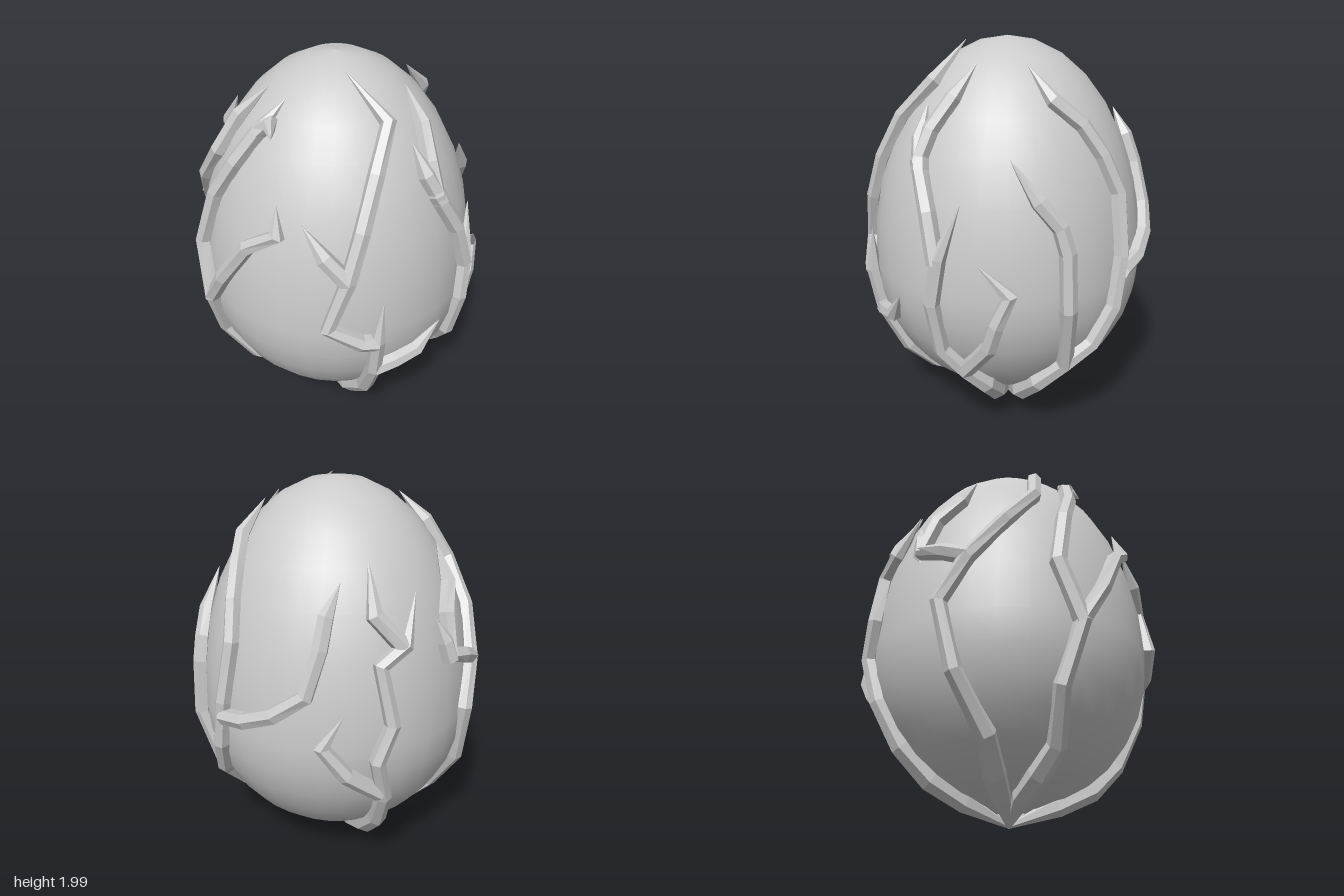
import * as THREE from 'three';

const WAIST = 0.85, RADIUS = 0.72, UP = 1.15, DOWN = 0.76;
const BASE = WAIST - DOWN;
const SIDES = 6;

// Radius of the egg at height y
function eggRadius(y) {
  const t = (y - WAIST) / (y > WAIST ? UP : DOWN);
  return RADIUS * Math.sqrt(Math.max(0, 1 - t * t));
}

// Point on the egg at a compass angle (0 = front, 90 = +x) and height, with its normal
function onEgg([deg, y]) {
  const a = THREE.MathUtils.degToRad(deg), r = eggRadius(y);
  const half = y > WAIST ? UP : DOWN;
  const normal = new THREE.Vector3(
    Math.sin(a) * r / RADIUS ** 2, (y - WAIST) / half ** 2, Math.cos(a) * r / RADIUS ** 2).normalize();
  return { point: new THREE.Vector3(Math.sin(a) * r, y, Math.cos(a) * r), normal };
}

// Six-sided vine that hugs the egg and tapers to a point
function vineGeometry(path, trunk) {
  const spots = path.map(onEgg), n = spots.length, pos = [], index = [];
  spots.forEach(({ point, normal }, i) => {
    const lift = trunk && i === 0 ? 0.07 : i === n - 1 ? 0.03 : 0.02;
    point.addScaledVector(normal, lift);
  });
  spots.forEach(({ point, normal }, i) => {
    const prev = spots[Math.max(i - 1, 0)].point, next = spots[Math.min(i + 1, n - 1)].point;
    const into = point.clone().sub(prev).normalize(), out = next.clone().sub(point).normalize();
    const tangent = into.add(out).normalize();
    const side = tangent.clone().cross(normal).normalize();
    const up = side.clone().cross(tangent).normalize();
    let r = 0.044 - 0.006 * i / n;
    if (trunk && i < 4) r = [0.012, 0.05, 0.058, 0.05][i];
    if (i === n - 1) r = 0.001;
    for (let j = 0; j < SIDES; j++) {
      const a = (j + 0.5) / SIDES * Math.PI * 2;
      const p = point.clone().addScaledVector(side, Math.cos(a) * r).addScaledVector(up, Math.sin(a) * r);
      pos.push(p.x, p.y, p.z);
      if (i < n - 1) {
        const k = (j + 1) % SIDES, A = i * SIDES, B = A + SIDES;
        index.push(A + j, B + j, A + k, A + k, B + j, B + k);
      }
    }
  });
  const g = new THREE.BufferGeometry();
  g.setAttribute('position', new THREE.Float32BufferAttribute(pos, 3));
  g.setIndex(index);
  g.computeVertexNormals();
  return g;
}

export function createModel() {
  const model = new THREE.Group();
  const smooth = new THREE.MeshStandardMaterial({ color: 0xcccccc });
  const faceted = new THREE.MeshStandardMaterial({ color: 0xcccccc, flatShading: true, side: THREE.DoubleSide });

  // Egg shell
  const profile = [];
  for (let i = 0; i <= 16; i++) {
    const a = -Math.PI / 2 + i / 16 * Math.PI;
    profile.push(new THREE.Vector2(Math.max(0, RADIUS * Math.cos(a)),
      WAIST + Math.sin(a) * (a > 0 ? UP : DOWN)));
  }
  const egg = new THREE.Mesh(new THREE.LatheGeometry(profile, 32), smooth);
  egg.name = 'egg';
  model.add(egg);

  const vine = (name, path, trunk = false) => {
    const mesh = new THREE.Mesh(vineGeometry(path, trunk), faceted);
    mesh.name = name;
    model.add(mesh);
  };
  // Trunks start under the egg's base and climb from there
  const trunk = (name, path) => vine(name, [[path[0][0], BASE], ...path], true);

  // Front vine and its branches: [angle, height]
  trunk('frontVine', [[3, 0.13], [11, 0.22], [16, 0.36], [16, 0.6], [16, 0.82], [18, 1.05]]);
  vine('frontLowBranch', [[16, 0.6], [25, 0.63], [35, 0.66], [44, 0.8]]);
  vine('frontTallBranch', [[16, 0.81], [10, 0.82], [-2.5, 0.92], [5, 1.18], [10.7, 1.4], [19, 1.62], [33, 1.79], [11, 1.955]]);
  vine('frontTwig', [[5, 1.17], [-4, 1.29], [-13, 1.43]]);

  // Right front vine (-x)
  trunk('rightFrontVine', [[-72, 0.13], [-66, 0.2], [-62, 0.3], [-66, 0.52], [-59.5, 0.82],
    [-49, 1.02], [-36, 1.26], [-23, 1.36], [-24.5, 1.49]]);
  vine('rightFrontBranch', [[-59.5, 0.8], [-68, 1.1], [-62, 1.4], [-54, 1.58], [-46, 1.74], [-37, 1.86]]);
  vine('rightFrontTwig', [[-47, 1.73], [-40, 1.77], [-35, 1.72]]);

  // Right back vine (-x)
  trunk('rightBackVine', [[265, 0.13], [264, 0.2], [263, 0.33], [253, 0.58], [248, 0.9],
    [258, 1.12], [272, 1.34], [286, 1.55], [290, 1.74], [300, 1.87]]);
  vine('rightBackBranch', [[259, 1.12], [248, 1.18], [237, 1.22], [240, 1.41], [250, 1.53], [255, 1.69]]);
  vine('rightBackTwig', [[237, 1.2], [235, 1.3], [231, 1.41]]);

  // Back vine
  trunk('backVine', [[209, 0.13], [209, 0.22], [208, 0.36], [206, 0.57], [201.5, 0.8], [207, 0.98],
    [203, 1.26], [214, 1.335], [223, 1.545]]);
  vine('backTwig', [[213, 1.33], [202, 1.475], [202, 1.69]]);
  vine('backLowBranch', [[204, 0.6], [190, 0.735], [181, 0.89], [189, 1.05]]);

  // Left front vine (+x)
  trunk('leftFrontVine', [[80, 0.13], [80, 0.21], [77, 0.32], [69, 0.43], [61, 0.56], [60, 0.82],
    [63, 1.05], [71, 1.3]]);
  vine('leftFrontBranch', [[62, 1.02], [57, 1.25], [48, 1.46], [50, 1.6], [57, 1.74], [65, 1.87]]);
  vine('leftFrontTwig', [[50, 1.42], [45, 1.56], [42, 1.7]]);
  vine('leftLowBranch', [[69, 0.43], [82, 0.62], [85, 0.75], [90, 0.9], [78, 1.05]]);

  // Left back vine (+x)
  trunk('leftBackVine', [[100, 0.13], [100, 0.21], [106, 0.33], [116, 0.46], [127, 0.56], [134.5, 0.75],
    [138, 1.0], [140, 1.3], [135, 1.48], [128, 1.62], [115, 1.73], [104, 1.87]]);
  vine('leftBackInnerBranch', [[116, 0.45], [112, 0.8], [111.5, 1.08], [109, 1.2], [101, 1.32], [90, 1.5]]);
  vine('leftBackOuterBranch', [[138, 0.92], [150, 0.95], [163, 1.02], [175, 1.13], [180, 1.34], [182, 1.48], [188, 1.61]]);

  return model;
}
